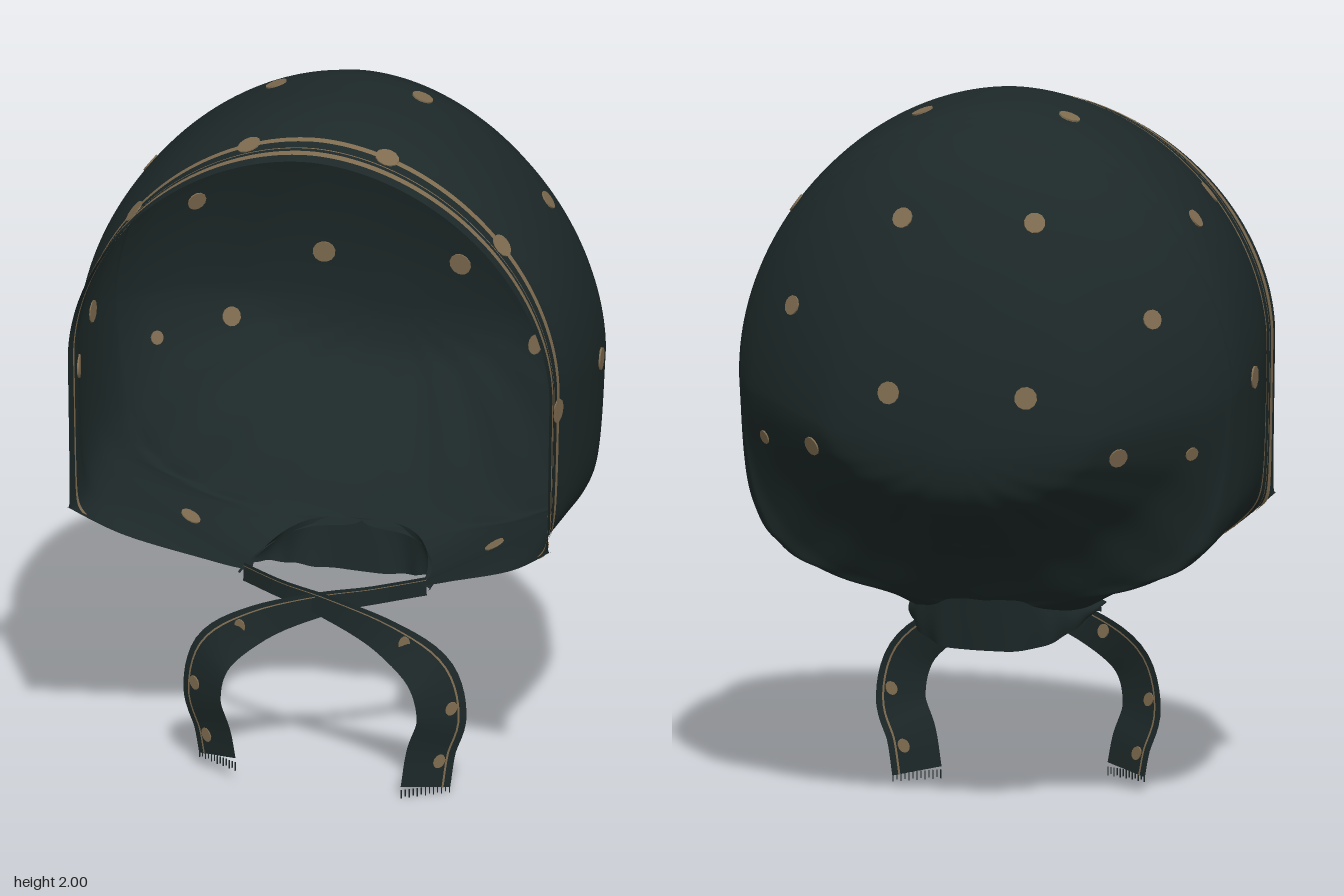
import * as THREE from 'three';

const cloth = new THREE.MeshStandardMaterial({ color: 0x1d2828, side: THREE.DoubleSide });
cloth.name = 'dark teal cloth';
const tan = new THREE.MeshStandardMaterial({ color: 0x7f6c50, side: THREE.DoubleSide });
tan.name = 'tan print';

// Sections from the face opening to the back: z, top, half width, edge x, edge y, widest y
const ROWS = [
  [0.50, 1.935, 0.69, 0.695, 0.83, 1.28],
  [0.40, 1.955, 0.685, 0.56, 0.72, 1.27],
  [0.30, 1.985, 0.71, 0.37, 0.63, 1.26],
  [0.20, 2.0, 0.725, 0.25, 0.565, 1.25],
  [0.10, 2.0, 0.73, 0.25, 0.56, 1.24],
  [0.0, 1.995, 0.725, 0.225, 0.565, 1.23],
  [-0.06, 1.985, 0.715, 0.19, 0.575, 1.22],
  [-0.10, 1.97, 0.705, 0.13, 0.585, 1.2],
  [-0.125, 1.96, 0.695, 0, 0.605, 1.2],
  [-0.20, 1.925, 0.65, 0, 0.70, 1.19],
  [-0.30, 1.825, 0.56, 0, 0.79, 1.18],
  [-0.40, 1.64, 0.44, 0, 0.875, 1.15],
  [-0.45, 1.50, 0.36, 0, 0.92, 1.13],
  [-0.485, 1.36, 0.24, 0, 0.97, 1.12],
  [-0.505, 1.23, 0.11, 0, 1.04, 1.11],
  [-0.51, 1.1, 0, 0, 1.1, 1.1],
];
const LAST = ROWS.length - 1;

// Smooth blend of the section values
function section(u) {
  const i = Math.min(Math.floor(u), LAST - 1), t = u - i;
  const row = (n) => ROWS[Math.max(0, Math.min(LAST, n))];
  return ROWS[0].map((_, c) => {
    const p0 = row(i - 1)[c], p1 = row(i)[c], p2 = row(i + 1)[c], p3 = row(i + 2)[c];
    return p1 + 0.5 * t * (p2 - p0 + t * (2 * p0 - 5 * p1 + 4 * p2 - p3 + t * (3 * (p1 - p2) + p3 - p0)));
  });
}

// Point on the bonnet: u runs front to back, v from the right edge (-1) over the top to the left (1)
function surface(u, v, off = 0) {
  let [z, top, w, ex, ey, yc] = section(u);
  ex = Math.max(0, ex);
  const a = Math.abs(v) * Math.PI;
  let x, y;
  if (a <= Math.PI / 2) {
    x = w * Math.pow(Math.sin(a), 1.06);
    y = yc + (top - yc) * Math.pow(Math.max(0, Math.cos(a)), 1.06);
  } else {
    // down the side, round a fold, then in to the edge; the fold softens towards the back
    const t = a / (Math.PI / 2) - 1;
    const back = THREE.MathUtils.smoothstep(u, 4, 9.5);
    const foldY = THREE.MathUtils.lerp(0.82, ey, back);
    const p = (1 - t) ** 2, q = 2 * t * (1 - t) * (4.5 - 3.85 * back), r = t * t;
    x = (p * w + q * w * (0.99 - 0.06 * back) + r * ex) / (p + q + r);
    y = (p * yc + q * foldY + r * ey) / (p + q + r);
    // faint gathers towards the neck
    const gather = 0.018 * back * t * t * (1 - t) * Math.sin(t * 32) * Math.min(1, w * 2);
    x += gather;
    y -= gather;
  }
  x *= Math.sign(v);
  const d = Math.hypot(x, y - 1.2) || 1;
  return new THREE.Vector3(x + off * x / d, y + off * (y - 1.2) / d, z);
}

// Flared collar hanging from the back of the neck
function collar(s, t) {
  const a = s * Math.PI, c = Math.cos(a), n = Math.sin(a);
  const wave = 0.006 * t * Math.sin(s * 50) * n;
  return new THREE.Vector3(
    Math.sign(c) * Math.pow(Math.abs(c), 0.6) * (0.25 + 0.025 * Math.sin(t * 2.2)) + wave * c,
    THREE.MathUtils.lerp(0.565 + 0.045 * n * n, 0.55 - 0.09 * n * n, t),
    0.2 - (0.327 - 0.022 * t) * n - wave,
  );
}

// Grid of points f(s, t) with s, t in 0..1
function sheet(f, ns, nt) {
  const pos = [], idx = [];
  for (let i = 0; i <= ns; i++) for (let j = 0; j <= nt; j++) pos.push(...f(i / ns, j / nt).toArray());
  for (let i = 0; i < ns; i++) for (let j = 0; j < nt; j++) {
    const a = i * (nt + 1) + j, b = a + nt + 1;
    idx.push(a, a + 1, b, b, a + 1, b + 1);
  }
  const g = new THREE.BufferGeometry();
  g.setAttribute('position', new THREE.Float32BufferAttribute(pos, 3));
  g.setIndex(idx);
  g.computeVertexNormals();
  return g;
}

function add(parent, name, geometry, material) {
  const m = new THREE.Mesh(geometry, material);
  m.name = name;
  parent.add(m);
  return m;
}

// Ribbon along a curve, between two fractions of its width; hand turns its outer edge to the back
const TILT = 0.6;
function ribbon(curve, hand, from, to, lift) {
  return sheet((s, t) => {
    const p = curve.getPoint(s), d = curve.getTangent(s);
    const across = new THREE.Vector3(d.y, -d.x, 0).normalize();
    across.z = hand * TILT * THREE.MathUtils.smoothstep(s, 0.3, 0.65);
    const width = 0.055 + 0.07 * THREE.MathUtils.smoothstep(s, 0.15, 0.6);
    p.addScaledVector(across, width * (from + (to - from) * t));
    p.z += lift;
    return p;
  }, 40, 2);
}

export function createModel() {
  const model = new THREE.Group();
  model.name = 'bonnet';

  const hood = add(model, 'hood', sheet((s, t) => surface(s * LAST, t * 2 - 1), 135, 240), cloth);
  add(model, 'neckCollar', sheet(collar, 80, 6), cloth);

  // Printed lines round the face opening: from u0 to u1, lifted off the cloth
  for (const [u0, u1, off] of [[0.36, 0.55, 0.004], [0.66, 0.69, 0.004], [0.96, 1.14, 0.004], [0.4, 0.5, -0.004]]) {
    add(model, 'rimStripe', sheet((s, t) => surface(u0 + (u1 - u0) * s, (t * 2 - 1) * 0.985, off), 2, 200), tan);
  }
  // Printed line along the lower front edges
  for (const side of [-1, 1]) {
    add(model, 'lowerStripe', sheet((s, t) => {
      const v = THREE.MathUtils.lerp(0.978 + 0.013 * s, 0.99 + 0.006 * s, t);
      return surface(1.05 + 1.2 * s, side * v, 0.004);
    }, 16, 2), tan);
  }

  // Spots (x, y, z, radius), snapped to the hood and turned to lie flat on it
  const spots = [
    [0.2, 1.73, -0.35, 0.03], [0.19, 1.25, -0.49, 0.032], [0.52, 1.46, -0.3, 0.028], [0.43, 1.08, -0.38, 0.028],
    [0.6, 1.07, -0.2, 0.02], [0.71, 1.21, 0.06, 0.032], [0.59, 1.69, 0.02, 0.028], [0.45, 0.64, 0.1, 0.03],
    [0.21, 1.95, 0.02, 0.031], [0.19, 1.91, 0.385, 0.034], [0.53, 1.69, 0.385, 0.034], [0.69, 1.22, 0.385, 0.034],
  ];
  const pos = hood.geometry.attributes.position, nor = hood.geometry.attributes.normal;
  const disc = new THREE.CylinderGeometry(1, 1, 0.008, 12);
  for (const [x, y, z, radius] of spots) for (const side of [-1, 1]) {
    const target = new THREE.Vector3(x * side, y, z), p = new THREE.Vector3();
    let best = 0, dist = Infinity;
    for (let i = 0; i < pos.count; i++) {
      const d = p.fromBufferAttribute(pos, i).distanceToSquared(target);
      if (d < dist) { dist = d; best = i; }
    }
    const spot = add(model, 'spot', disc, tan);
    spot.position.fromBufferAttribute(pos, best);
    spot.quaternion.setFromUnitVectors(new THREE.Vector3(0, 1, 0), p.fromBufferAttribute(nor, best).normalize());
    spot.scale.set(radius, 1, radius);
  }

  // Crossed ties with a printed edge, spots and a fringe
  for (const side of [-1, 1]) {
    const tie = new THREE.Group();
    tie.name = side > 0 ? 'leftTie' : 'rightTie';
    model.add(tie);
    const end = side > 0 ? 0.025 : 0.055, dz = side > 0 ? 0.008 : -0.008;
    const curve = new THREE.CatmullRomCurve3([
      [-0.26, 0.555, 0.19], [-0.14, 0.55, 0.27], [0, 0.53, 0.32], [0.19, 0.46, 0.345],
      [0.315, 0.36, 0.35], [0.345, 0.23, 0.345], [0.315, 0.13, 0.345], [0.3, end, 0.35],
    ].map(([x, y, z]) => new THREE.Vector3(x * side, y, z + dz)));
    add(tie, 'ribbon', ribbon(curve, side, -0.5, 0.5, 0), cloth);
    for (const lift of [0.004, -0.004]) {
      add(tie, 'ribbonStripe', ribbon(curve, side, -side * 0.33, -side * 0.37, lift), tan);
    }
    for (const s of [0.45, 0.68, 0.9]) {
      const spot = add(tie, 'ribbonSpot', disc, tan);
      spot.position.copy(curve.getPoint(s));
      const slope = TILT * THREE.MathUtils.smoothstep(s, 0.3, 0.65);
      spot.position.x += side * 0.025;
      spot.position.z -= slope * 0.025;
      spot.quaternion.setFromUnitVectors(new THREE.Vector3(0, 1, 0), new THREE.Vector3(side * slope, 0, 1).normalize());
      spot.scale.set(0.016, 1, 0.021);
    }
    for (let i = 0; i < 13; i++) {
      const f = i / 12 - 0.5, len = 0.025 - 0.005 * (i % 2);
      const strand = add(tie, 'fringeStrand', new THREE.BoxGeometry(0.003, len, 0.003), cloth);
      strand.position.set(side * (0.3 + f * 0.12), end - len / 2, 0.35 + dz - f * 0.075);
    }
  }
  return model;
}
